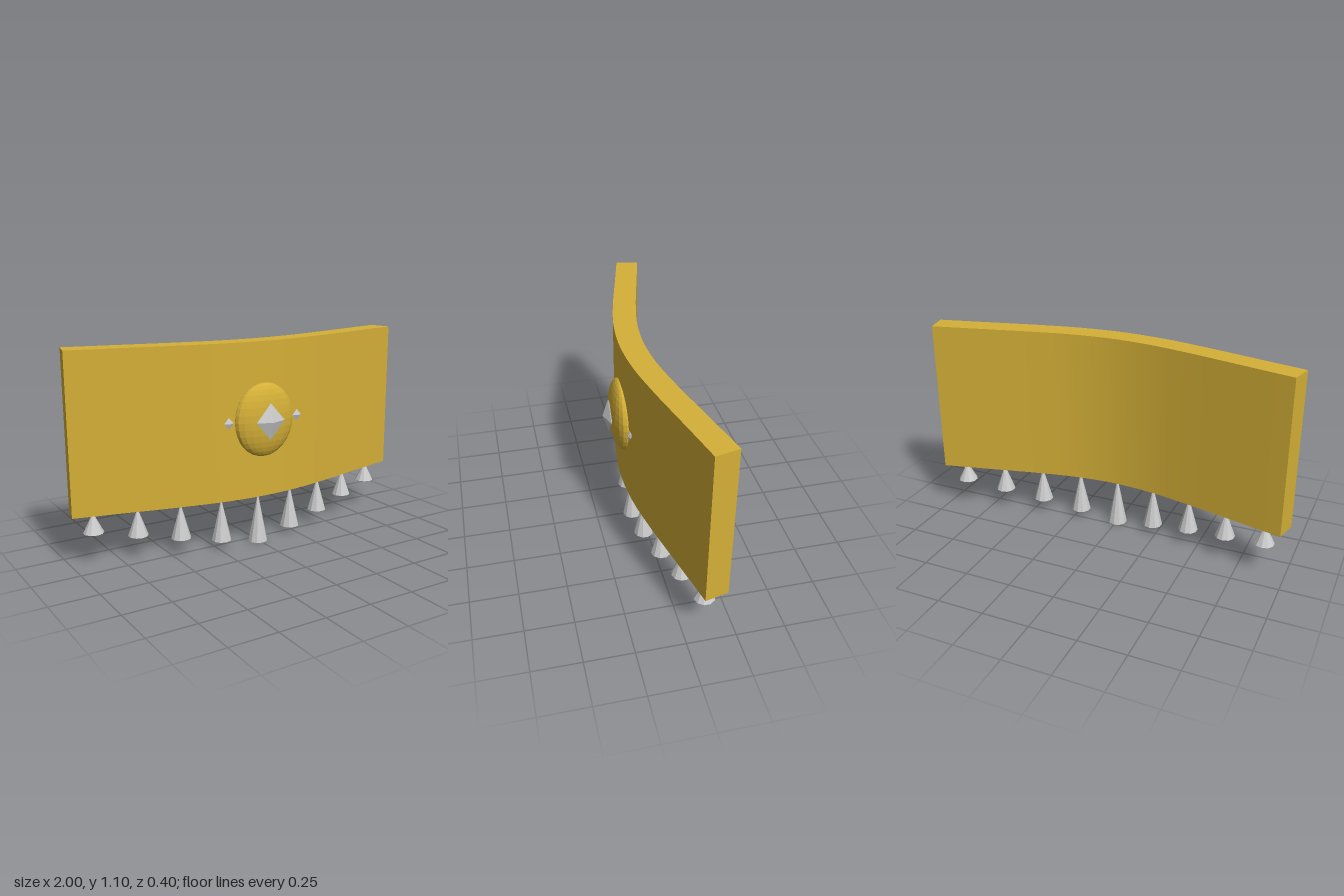
import * as THREE from 'three';
import { toCreasedNormals } from 'three/addons/utils/BufferGeometryUtils.js';

const gold = new THREE.MeshStandardMaterial({ color: 0xd4af37 });
const goldFacet = new THREE.MeshStandardMaterial({ color: 0xd4af37, flatShading: true });
const grey = new THREE.MeshStandardMaterial({ color: 0xcccccc, flatShading: true });

// centre line of the bent band: x and z from the middle to one end
const half = [[0, 0.046], [0.22, 0.03], [0.44, -0.012], [0.66, -0.064], [0.88, -0.117], [0.987, -0.142]];
const bottom = 0.272, top = 1.102, thickness = 0.124;

function createBand() {
  const points = [...half.slice(1).reverse().map(([x, z]) => [-x, z]), ...half];
  const curve = new THREE.CatmullRomCurve3(points.map(([x, z]) => new THREE.Vector3(x, 0, z)));
  const front = [], back = [];
  const steps = 48;
  for (let i = 0; i <= steps; i++) {
    const p = curve.getPoint(i / steps), t = curve.getTangent(i / steps);
    // offset to both sides, perpendicular to the curve (shape y = -z)
    const nx = -t.z * thickness / 2, nz = t.x * thickness / 2;
    front.push(new THREE.Vector2(p.x + nx, -(p.z + nz)));
    back.unshift(new THREE.Vector2(p.x - nx, -(p.z - nz)));
  }
  const geometry = new THREE.ExtrudeGeometry(new THREE.Shape([...front, ...back]), {
    depth: top - bottom, bevelEnabled: false,
  });
  geometry.rotateX(-Math.PI / 2);
  geometry.translate(0, bottom, 0);
  return new THREE.Mesh(toCreasedNormals(geometry, 0.5), gold);
}

export function createModel() {
  const model = new THREE.Group();
  model.name = 'ornamentalBand';

  const add = (name, mesh, x, y, z) => {
    mesh.name = name;
    mesh.position.set(x, y, z);
    model.add(mesh);
    return mesh;
  };
  const addGem = (name, x, z, sx, sy, sz) =>
    add(name, new THREE.Mesh(new THREE.OctahedronGeometry(1), grey), x, 0.69, z).scale.set(sx, sy, sz);

  add('band', createBand(), 0, 0, 0);

  // domed boss with its gem, and a small gem on each side
  add('boss', new THREE.Mesh(new THREE.SphereGeometry(1, 20, 16), goldFacet), 0, 0.69, 0.107)
    .scale.set(0.177, 0.197, 0.06);
  addGem('centreGem', 0, 0.171, 0.086, 0.098, 0.031);
  for (const side of [-1, 1]) {
    addGem(side > 0 ? 'leftGem' : 'rightGem', side * 0.211, 0.102, 0.029, 0.032, 0.012);
  }

  // hanging cones, shorter towards the ends
  half.slice(0, 5).forEach(([x, z], i) => {
    const height = bottom - 0.0415 * i;
    for (const side of i ? [-1, 1] : [1]) {
      const cone = new THREE.Mesh(new THREE.ConeGeometry(0.053, height, 10), grey);
      add('pendant', cone, side * x, bottom - height / 2, z);
    }
  });
  return model;
}
